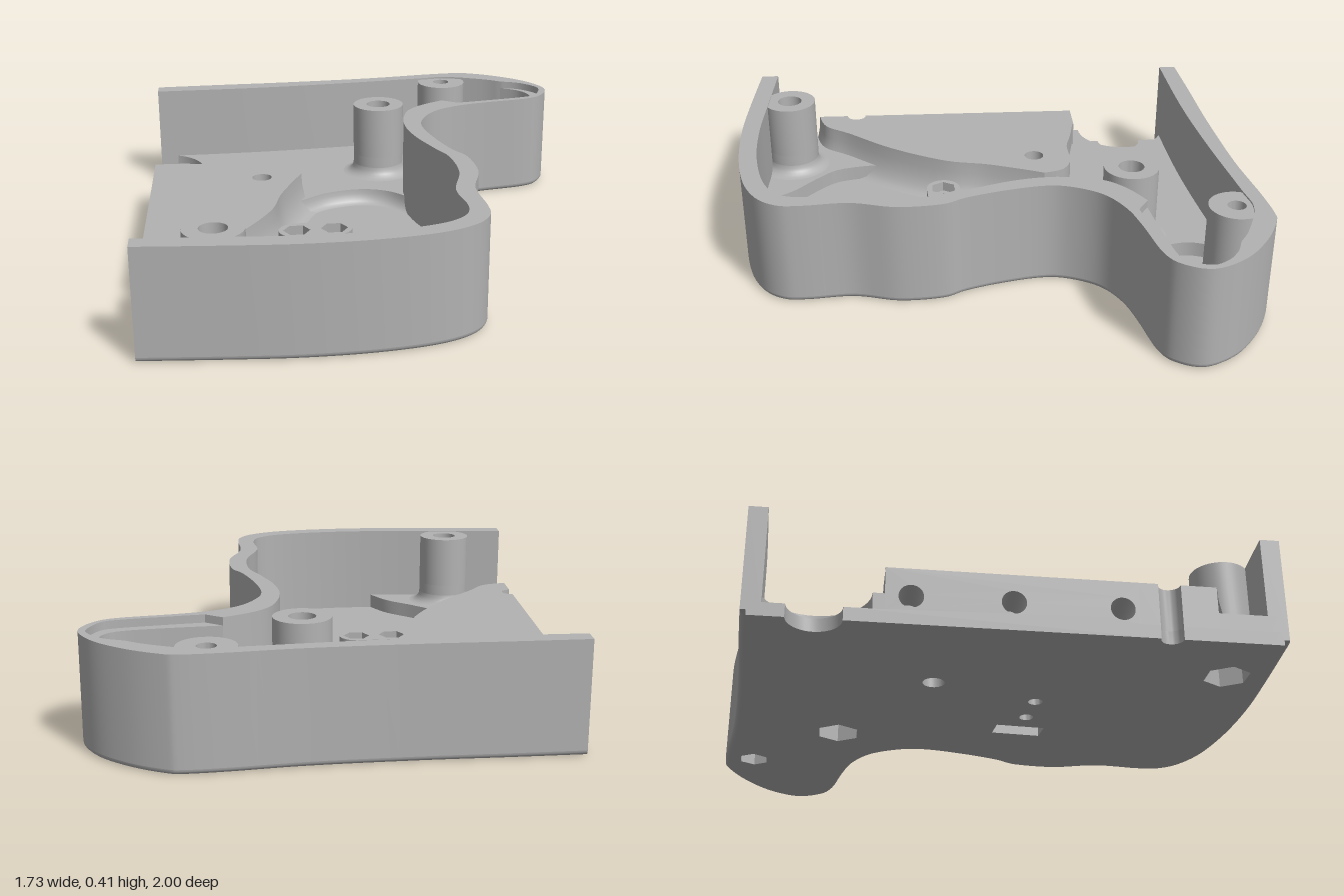
import * as THREE from 'three';
import { toCreasedNormals } from 'three/addons/utils/BufferGeometryUtils.js';

const shellGrey = new THREE.MeshStandardMaterial({ color: 0xb2b2b2, side: THREE.DoubleSide });

const V = (p) => new THREE.Vector2(p[0], p[1]);
const smooth = (pts, n = 5) => new THREE.SplineCurve(pts.map(V)).getPoints((pts.length - 1) * n);

// circular or polygonal run of points in plan (x, z)
function arc(x, z, r, n = 32, a0 = 0, a1 = Math.PI * 2) {
  const full = Math.abs(a1 - a0) > 6.28;
  return Array.from({ length: full ? n : n + 1 }, (_, i) => {
    const a = a0 + ((a1 - a0) * i) / n;
    return new THREE.Vector2(x + r * Math.cos(a), z + r * Math.sin(a));
  });
}
const hex = (x, z, r) => arc(x, z, r, 6);

// solid with plan outline (x, z) between heights y0 and y1
function slab(name, outline, y0, y1, holes = []) {
  const shape = new THREE.Shape(outline);
  shape.holes = holes.map((h) => new THREE.Path(h));
  let g = new THREE.ExtrudeGeometry(shape, { depth: y1 - y0, bevelEnabled: false });
  g.rotateX(Math.PI / 2).translate(0, y1, 0);
  return part(name, toCreasedNormals(g, 0.6));
}

function part(name, geometry) {
  const m = new THREE.Mesh(geometry, shellGrey);
  m.name = name;
  return m;
}

// point list moved sideways by d
function offset(pts, d) {
  return pts.map((p, i) => {
    const t = pts[Math.min(i + 1, pts.length - 1)].clone().sub(pts[Math.max(i - 1, 0)]).normalize();
    return new THREE.Vector2(p.x - t.y * d, p.y + t.x * d);
  });
}

// rounded strip following a path; profile(t) gives [sideways offset, height]
function strip(name, path, profile, flip = false, steps = 5) {
  const pos = [], idx = [], n = path.length;
  for (let j = 0; j <= steps; j++) {
    const [d, y] = profile((j / steps) * Math.PI / 2);
    offset(path, d).forEach((p) => pos.push(p.x, y, p.y));
  }
  for (let j = 0; j < steps; j++)
    for (let i = 0; i < n - 1; i++) {
      const a = j * n + i, b = a + 1, c = a + n, e = c + 1;
      if (flip) idx.push(a, b, c, b, e, c);
      else idx.push(a, c, b, b, c, e);
    }
  const g = new THREE.BufferGeometry();
  g.setAttribute('position', new THREE.Float32BufferAttribute(pos, 3));
  g.setIndex(idx);
  g.computeVertexNormals();
  return part(name, g);
}

export function createModel() {
  const model = new THREE.Group();
  model.name = 'gripShell';
  const add = (...m) => model.add(...m);
  const H = 0.415, FLOOR = 0.05, MID = 0.11, DECK = 0.21, CUT = -0.865;

  // outer and inner wall lines
  const outer = smooth([[CUT, -0.885], [-0.6, -0.9], [-0.29, -0.915], [0.08, -0.945], [0.35, -0.985], [0.5, -1],
    [0.56, -0.99], [0.68, -0.93], [0.8, -0.83], [0.863, -0.705], [0.825, -0.6], [0.745, -0.548], [0.56, -0.508],
    [0.43, -0.47], [0.32, -0.4], [0.255, -0.29], [0.24, -0.185], [0.27, -0.03], [0.315, 0.11], [0.36, 0.2],
    [0.372, 0.37], [0.33, 0.54], [0.342, 0.716], [0.333, 0.81], [0.27, 0.89], [0.14, 0.95], [-0.07, 0.987],
    [-0.31, 0.999], [-0.55, 0.99], [CUT, 0.97]]);
  const innerTop = [[CUT, -0.817], [-0.44, -0.835], [-0.07, -0.87], [0.3, -0.918], [0.45, -0.935], [0.61, -0.88], [0.69, -0.833]];
  const innerGrip = [[0.375, -0.557], [0.27, -0.49], [0.2, -0.4], [0.17, -0.24], [0.19, -0.08], [0.245, 0.08], [0.29, 0.195],
    [0.3, 0.37], [0.257, 0.557], [0.275, 0.716], [0.245, 0.81], [0.14, 0.875], [-0.075, 0.918], [-0.31, 0.928],
    [-0.55, 0.917], [CUT, 0.9]];
  const tipThin = [[0.69, -0.833], [0.77, -0.8], [0.825, -0.74], [0.835, -0.69], [0.8, -0.605], [0.735, -0.573], [0.55, -0.535], [0.44, -0.515]];
  const tipThick = [[0.69, -0.833], [0.77, -0.77], [0.795, -0.69], [0.745, -0.62], [0.59, -0.585], [0.375, -0.557]];
  const inner = [...smooth(innerTop), ...smooth(tipThin), ...smooth(innerGrip)];
  add(slab('outerWall', [...outer, ...inner.reverse()], 0.02, H));
  add(slab('tipLedge', [...smooth(tipThin), ...smooth(tipThick).reverse()], FLOOR, 0.385));
  add(strip('bottomEdge', outer, (t) => [0.02 * (1 - Math.sin(t)), 0.02 * (1 - Math.cos(t))], true));

  // screw bosses: x, z, radius, bore, nut pocket radius
  const bosses = [[-0.597, 0.828, 0.107, 0.05, 0.085], [0.095, -0.54, 0.107, 0.05, 0.085], [0.42, -0.88, 0.105, 0.035, 0.06]];
  const pins = [[-0.297, 0.183], [-0.15, 0.172]];
  const slot = [[-0.065, 0.07], [0.015, 0.062], [0.027, 0.248], [-0.053, 0.256]].map(V);
  const pivot = arc(-0.42, -0.21, 0.04);

  // half-round openings along the straight cut side
  const bigNotch = arc(CUT, -0.645, 0.095, 20, Math.PI / 2, -Math.PI / 2);
  const smallNotch = arc(CUT, 0.56, 0.04, 14, Math.PI / 2, -Math.PI / 2);
  const baseLine = offset(outer, 0.02);
  baseLine[0].x = baseLine[baseLine.length - 1].x = CUT;
  add(slab('floor', [...baseLine, ...smallNotch, ...bigNotch], 0, FLOOR,
    [...bosses.map((b) => hex(b[0], b[1], b[4])), ...pins.map((p) => arc(...p, 0.027, 20)), slot, pivot]));

  // raised deck beside the cut side
  const deckTop = smooth([[-0.72, -0.41], [-0.6, -0.385], [-0.5, -0.36], [-0.365, -0.36], [-0.286, -0.32], [-0.257, -0.24]]);
  const deckSide = smooth([[-0.257, -0.24], [-0.295, -0.15], [-0.35, 0], [-0.395, 0.175], [-0.525, 0.4], [-0.68, 0.585],
    [-0.76, 0.69], [CUT, 0.727]]);
  add(slab('deck', [...deckTop, ...deckSide, ...smallNotch, V([CUT, 0.45]), V([-0.72, 0.45])], FLOOR, DECK, [pivot]));
  add(strip('deckFillet', deckSide, (t) => [-0.07 * (1 - Math.cos(t)), DECK - (DECK - FLOOR) * Math.sin(t)]));

  // deck edge drilled with three sideways holes
  const edge = new THREE.Shape([[-0.45, FLOOR], [0.415, FLOOR], [0.415, DECK], [-0.45, DECK]].map(V));
  for (const z of [-0.327, 0.02, 0.393])
    edge.holes.push(new THREE.Path(arc(-z, 0.105, 0.043, 28)));
  const edgeGeo = new THREE.ExtrudeGeometry(edge, { depth: 0.145, bevelEnabled: false });
  edgeGeo.rotateY(Math.PI / 2).translate(CUT, 0, 0);
  add(part('drilledDeckEdge', toCreasedNormals(edgeGeo, 0.6)));

  // middle step between deck, grip pocket and tip pocket
  const tipEdge = smooth([[0.26, -0.93], [0.19, -0.82], [0.18, -0.727], [0.235, -0.6], [0.33, -0.52]]);
  const gripEdge = smooth([[0.2, -0.17], [0.11, -0.265], [-0.01, -0.3], [-0.155, -0.265], [-0.27, -0.18]]);
  add(slab('upperStep', [[CUT, -0.85], [-0.44, -0.87], [-0.07, -0.9]].map(V).concat(
    tipEdge, [[0.23, -0.4], [0.2, -0.25]].map(V), gripEdge, [[-0.3, -0.3], [-0.5, -0.35], [-0.72, -0.405], [CUT, -0.415]].map(V),
    arc(CUT, -0.645, 0.19, 24, Math.PI / 2, -Math.PI / 2)), FLOOR, MID, [arc(0.095, -0.54, 0.1)]));
  add(strip('gripPocketFillet', gripEdge, (t) => [-0.035 * (1 - Math.cos(t)), MID - (MID - FLOOR) * Math.sin(t)]));
  const cornerEdge = smooth([[-0.56, 0.45], [-0.557, 0.52], [-0.525, 0.64], [-0.445, 0.727], [-0.34, 0.82], [-0.27, 0.93]]);
  add(slab('lowerStep', [[CUT, 0.727], [-0.76, 0.69], [-0.68, 0.585]].map(V).concat(
    cornerEdge, [[-0.27, 0.96], [CUT, 0.94]].map(V)), FLOOR, MID, [arc(-0.597, 0.828, 0.1)]));

  // bosses with a hexagonal nut pocket below and a round bore above
  bosses.forEach(([x, z, r, bore, nut], i) => {
    add(slab('bossBase', arc(x, z, r, 40), FLOOR, 0.2, [hex(x, z, nut)]));
    add(slab('boss', arc(x, z, r, 40), 0.2, i === 2 ? 0.408 : 0.412, [arc(x, z, bore)]));
    if (i === 2) return;
    const profile = Array.from({ length: 6 }, (_, k) => {
      const t = (k / 5) * Math.PI / 2;
      return new THREE.Vector2(r + 0.045 * (1 - Math.sin(t)), MID + 0.045 * (1 - Math.cos(t)));
    });
    const fillet = part('bossFillet', new THREE.LatheGeometry(profile, 40));
    fillet.position.set(x, 0, z);
    add(fillet);
  });

  // small two-pin pad in the grip pocket
  const pad = [...arc(...pins[1], 0.07, 16, -Math.PI / 2, Math.PI / 2), ...arc(...pins[0], 0.07, 16, Math.PI / 2, Math.PI * 1.5)];
  add(slab('pinPadBase', pad, FLOOR, 0.09, pins.map((p) => arc(...p, 0.027, 20))));
  add(slab('pinPadTop', pad, 0.09, 0.13, pins.map((p) => hex(...p, 0.053))));

  return model;
}
